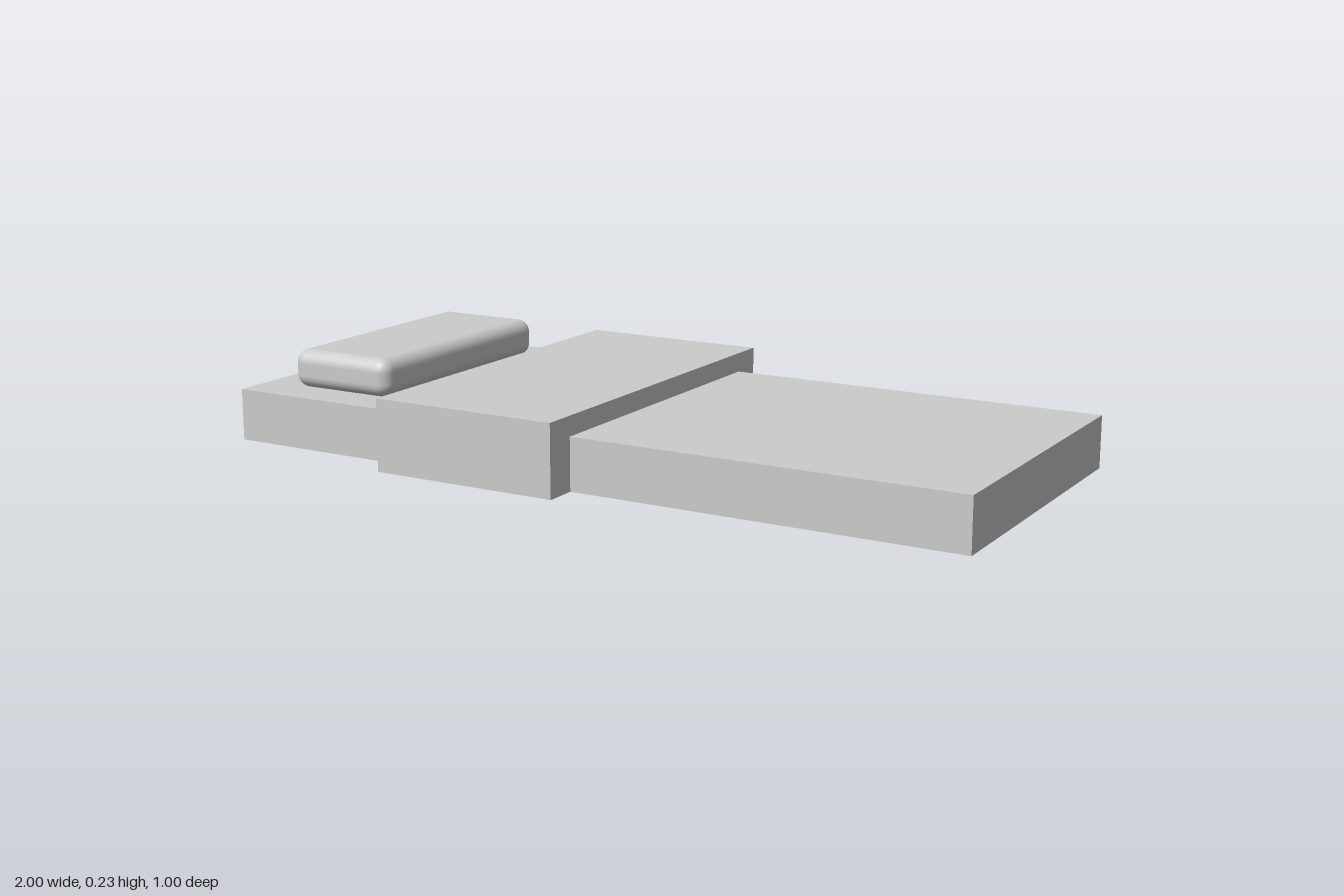
import * as THREE from 'three';
import { RoundedBoxGeometry } from 'three/addons/geometries/RoundedBoxGeometry.js';

export function createModel() {
  const bed = new THREE.Group();
  bed.name = 'bed';
  const material = new THREE.MeshStandardMaterial({ color: 0xcccccc });

  // Adds a part with its underside at the given height
  function addPart(name, geometry, x, bottom) {
    geometry.computeBoundingBox();
    const mesh = new THREE.Mesh(geometry, material);
    mesh.name = name;
    mesh.position.set(x, bottom - geometry.boundingBox.min.y, 0);
    bed.add(mesh);
  }

  const mattressHeight = 0.133;

  // Mattress slab along x
  addPart('mattress', new THREE.BoxGeometry(2, mattressHeight, 0.833), 0, 0);

  // Folded blanket wrapped over the middle, reaching the ground on both sides
  addPart('blanket', new THREE.BoxGeometry(0.5, 0.183, 1), -0.25, 0);

  // Soft-edged pillow at the head end
  addPart('pillow', new RoundedBoxGeometry(0.3, 0.1, 0.667, 5, 0.035), -0.75, mattressHeight);

  return bed;
}
